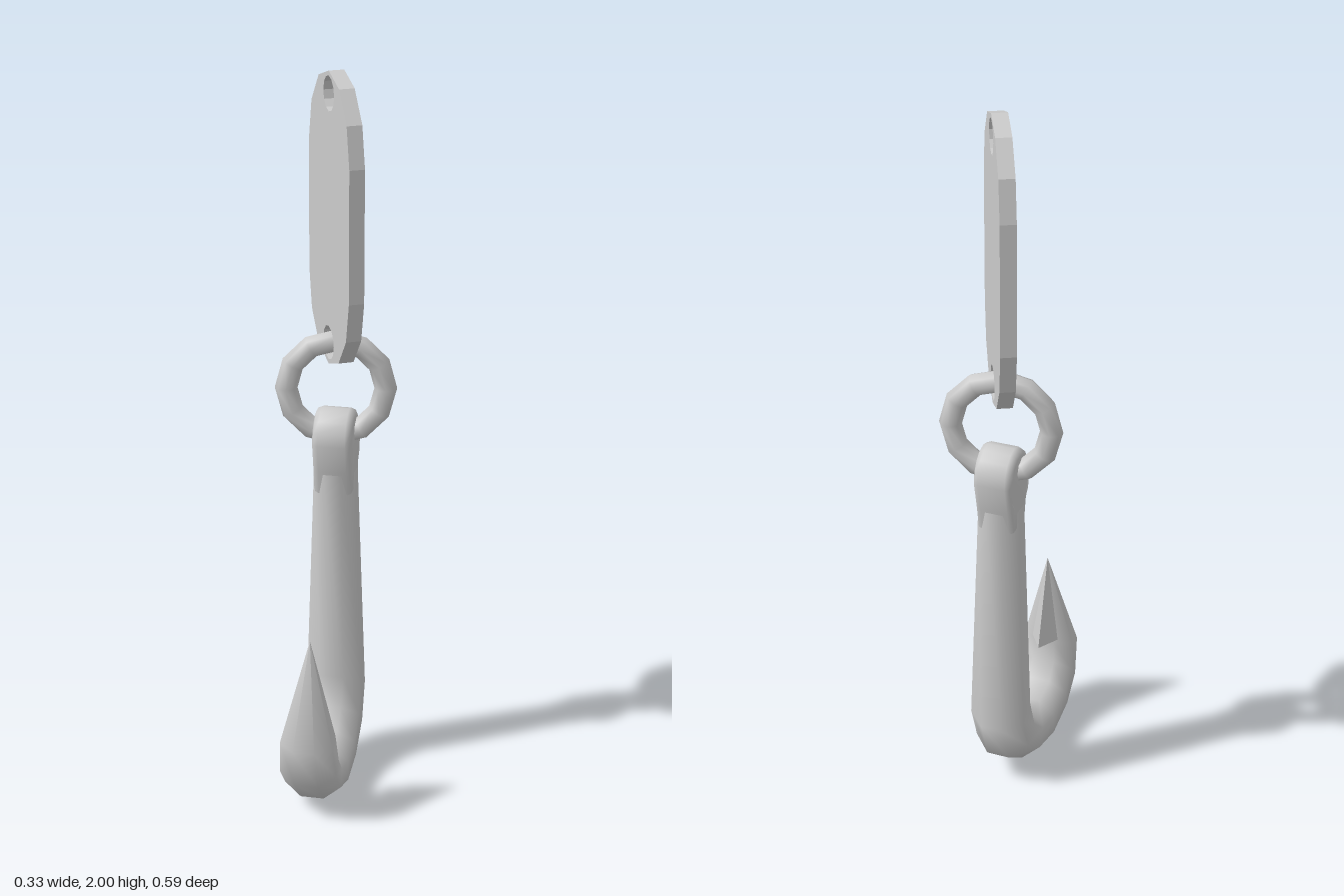
import * as THREE from 'three';
import { toCreasedNormals } from 'three/addons/utils/BufferGeometryUtils.js';

const material = new THREE.MeshStandardMaterial({ color: 0xcccccc });
const AXIS_Z = -0.13; // plate, ring and shank hang on this line

function add(group, name, geometry, y = 0, z = 0, turn = 0) {
  const mesh = new THREE.Mesh(geometry, material);
  mesh.name = name;
  mesh.position.set(0, y, z);
  mesh.rotation.y = turn;
  group.add(mesh);
}

// Polygon points on an ellipse arc
function arc(cx, cy, rx, ry, from, to, steps) {
  return Array.from({ length: steps + 1 }, (_, i) => {
    const a = from + ((to - from) * i) / steps;
    return new THREE.Vector2(cx + rx * Math.cos(a), cy + ry * Math.sin(a));
  });
}

// Flat tag with rounded ends and a hole at each end
function plateGeometry() {
  const shape = new THREE.Shape([
    ...arc(0, 0.18, 0.178, 0.22, 0, Math.PI, 6),
    ...arc(0, -0.18, 0.178, 0.22, Math.PI, Math.PI * 2, 6),
  ]);
  for (const y of [0.34, -0.34]) {
    shape.holes.push(new THREE.Path(arc(0, y, 0.047, 0.047, 0, -Math.PI * 2, 12).slice(0, -1)));
  }
  const geometry = new THREE.ExtrudeGeometry(shape, { depth: 0.042, bevelEnabled: false });
  return geometry.translate(0, 0, -0.021);
}

// Eye at the top of the shank, with an oval hole for the ring
function eyeGeometry() {
  const shape = new THREE.Shape([
    new THREE.Vector2(-0.04, 0.83),
    new THREE.Vector2(0.04, 0.83),
    new THREE.Vector2(0.053, 0.9),
    ...arc(0, 0.98, 0.071, 0.09, 0, Math.PI, 8),
    new THREE.Vector2(-0.053, 0.9),
  ]);
  shape.holes.push(new THREE.Path(arc(0, 0.967, 0.045, 0.062, 0, -Math.PI * 2, 12).slice(0, -1)));
  const geometry = new THREE.ExtrudeGeometry(shape, {
    depth: 0.076, bevelThickness: 0.017, bevelSize: 0.016, bevelOffset: -0.016, bevelSegments: 2,
  });
  return toCreasedNormals(geometry.translate(0, 0, -0.038), 0.9);
}

// Eight-sided loft; each section is [outer y, outer z, inner y, inner z, half width]
function loftGeometry(sections) {
  const sides = 8;
  const k = 1 / Math.cos(Math.PI / sides);
  const positions = [];
  const index = [];
  sections.forEach(([oy, oz, iy, iz, half], j) => {
    for (let i = 0; i < sides; i++) {
      const a = ((i + 0.5) / sides) * Math.PI * 2;
      const c = (Math.cos(a) * k) / 2;
      positions.push(
        half * k * Math.sin(a),
        (oy + iy) / 2 + (oy - iy) * c,
        (oz + iz) / 2 + (oz - iz) * c,
      );
      if (j === 0) continue;
      const n = (i + 1) % sides;
      const p = (j - 1) * sides;
      const q = j * sides;
      index.push(p + i, p + n, q + i, p + n, q + n, q + i);
    }
  });
  const geometry = new THREE.BufferGeometry();
  geometry.setAttribute('position', new THREE.Float32BufferAttribute(positions, 3));
  geometry.setIndex(index);
  geometry.computeVertexNormals();
  return geometry;
}

// Sharp wedge behind the point of the hook
function barbGeometry() {
  const tip = [0, 0.53, 0.212];
  const spur = [0, 0.265, 0.143];
  const left = [0.045, 0.272, 0.205];
  const right = [-0.045, 0.272, 0.205];
  const faces = [tip, spur, right, tip, left, spur, spur, left, right, tip, right, left];
  const geometry = new THREE.BufferGeometry();
  geometry.setAttribute('position', new THREE.Float32BufferAttribute(faces.flat(), 3));
  geometry.computeVertexNormals();
  return geometry;
}

export function createModel() {
  const model = new THREE.Group();
  model.name = 'hookOnRingAndPlate';

  add(model, 'plate', plateGeometry(), 1.6, AXIS_Z, -1.066);
  add(model, 'ring', new THREE.TorusGeometry(0.135, 0.031, 8, 12), 1.128, AXIS_Z, 0.18);

  const hook = new THREE.Group();
  hook.name = 'hook';
  model.add(hook);
  add(hook, 'eye', eyeGeometry(), 0, AXIS_Z, -Math.PI / 2);
  add(hook, 'shankAndBend', loftGeometry([
    [0.9, AXIS_Z, 0.9, AXIS_Z, 0],
    [0.89, -0.183, 0.89, -0.077, 0.057],
    [0.21, -0.204, 0.28, -0.077, 0.078],
    [0.095, -0.162, 0.2, -0.048, 0.078],
    [0.025, -0.058, 0.15, 0, 0.078],
    [0.002, 0.071, 0.135, 0.071, 0.078],
    [0.04, 0.188, 0.155, 0.147, 0.078],
    [0.115, 0.262, 0.2, 0.182, 0.078],
    [0.235, 0.299, 0.265, 0.188, 0.072],
    [0.53, 0.212, 0.53, 0.212, 0],
  ]));
  add(hook, 'barb', barbGeometry());

  return model;
}
